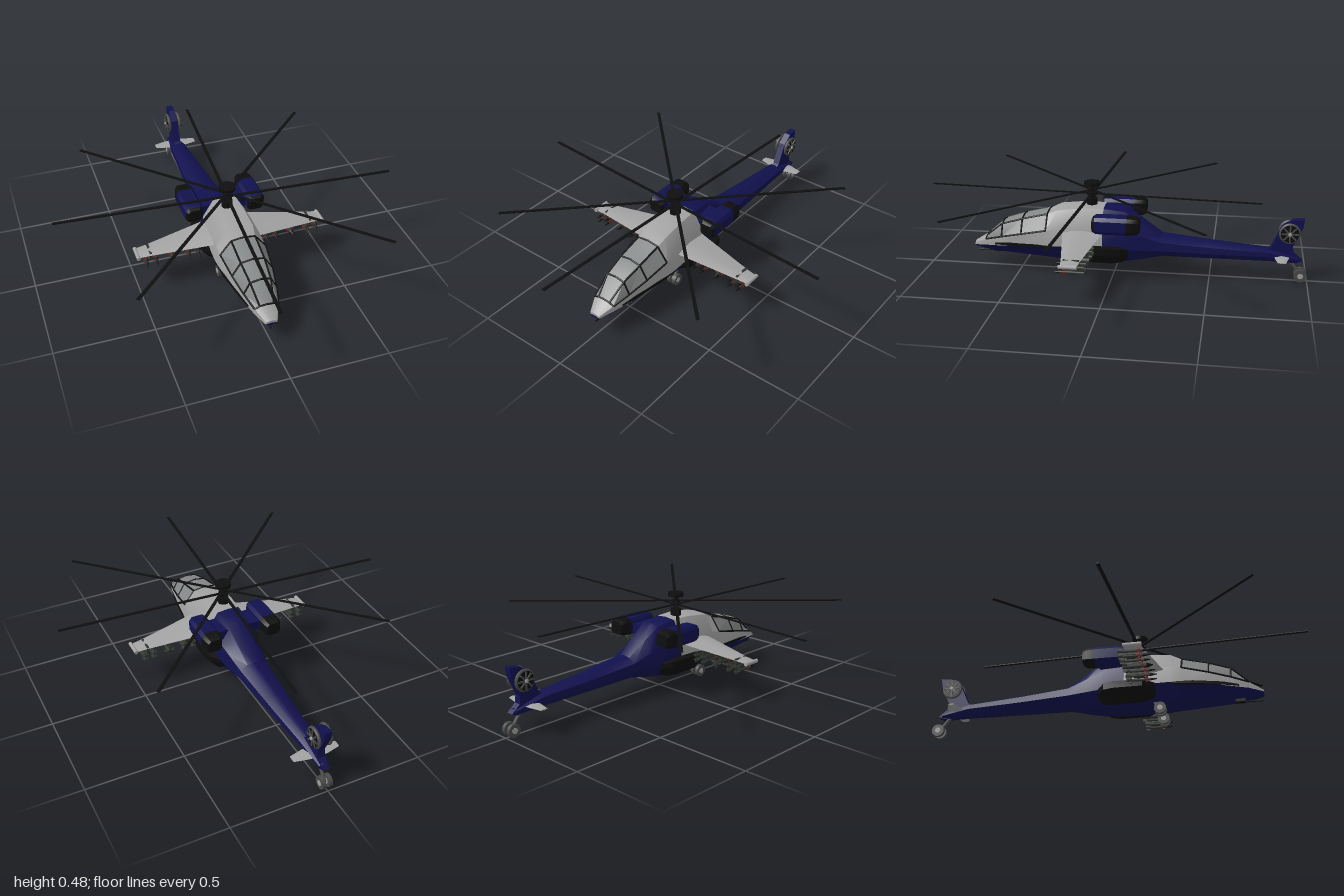
import * as THREE from 'three';
import { toCreasedNormals } from 'three/addons/utils/BufferGeometryUtils.js';

const mat = (name, color) => Object.assign(new THREE.MeshStandardMaterial({ color }), { name });
const grey = mat('light grey paint', 0xa2a2a2);
const navy = mat('navy paint', 0x11114e);
const black = mat('black', 0x0e0e0e);
const glass = mat('grey glass', 0x858888);
const rubber = mat('dark grey rubber', 0x4a4a4a);
const olive = mat('dark olive', 0x30352f);
const red = mat('red', 0x8c1212);
const V = (x, y, z) => new THREE.Vector3(x, y, z);

export function createModel() {
  const root = new THREE.Group();
  root.name = 'helicopter';

  function add(name, geo, material, parent = root) {
    const m = new THREE.Mesh(geo, material);
    m.name = name;
    parent.add(m);
    return m;
  }
  function box(name, w, h, d, x, y, z, material, parent) {
    const m = add(name, new THREE.BoxGeometry(w, h, d), material, parent);
    m.position.set(x, y, z);
    return m;
  }
  // Cylinder between two points
  function rod(name, a, b, r, material, r2 = r, sides = 10, parent = root) {
    const d = b.clone().sub(a);
    const m = add(name, new THREE.CylinderGeometry(r2, r, d.length(), sides), material, parent);
    m.position.copy(a).addScaledVector(d, 0.5);
    m.quaternion.setFromUnitVectors(V(0, 1, 0), d.normalize());
    return m;
  }
  // Skin over cross-sections with end caps; pick(row, strip) chooses the material
  function loft(name, rings, materials, pick = () => 0, crease = 0.5) {
    const faces = materials.map(() => []);
    const n = rings[0].length;
    let volume = 0;
    const tri = (k, a, b, c) => {
      volume += a.dot(b.clone().cross(c));
      faces[k].push([a, b, c]);
    };
    for (let i = 0; i < rings.length - 1; i++) for (let j = 0; j < n; j++) {
      const a = rings[i][j], b = rings[i][(j + 1) % n], c = rings[i + 1][(j + 1) % n], d = rings[i + 1][j];
      const k = pick(i, j);
      tri(k, a, b, c);
      tri(k, a, c, d);
    }
    for (const e of [0, rings.length - 1]) {
      const mid = rings[e].reduce((s, p) => s.add(p), V(0, 0, 0)).divideScalar(n);
      for (let j = 0; j < n; j++) {
        const p = rings[e][j], q = rings[e][(j + 1) % n];
        e ? tri(pick(e, j), mid, p, q) : tri(pick(-1, j), mid, q, p);
      }
    }
    const pts = [], geo = new THREE.BufferGeometry();
    faces.forEach((list, k) => {
      geo.addGroup(pts.length, list.length * 3, k);
      list.forEach(([a, b, c]) => pts.push(...(volume < 0 ? [a, c, b] : [a, b, c])));
    });
    geo.setFromPoints(pts);
    return add(name, toCreasedNormals(geo, crease), materials);
  }

  // Fuselage half-sections: z, then (x, y) for keel edge, chine, shoulder, roof edge, then roof y
  const sections = [
    [0.75, 0.015, 0.108, 0.03, 0.118, 0.028, 0.128, 0.015, 0.133, 0.135],
    [0.68, 0.035, 0.098, 0.06, 0.13, 0.06, 0.163, 0.035, 0.174, 0.177],
    [0.59, 0.046, 0.094, 0.083, 0.138, 0.083, 0.188, 0.052, 0.25, 0.258],
    [0.48, 0.057, 0.09, 0.105, 0.15, 0.103, 0.215, 0.06, 0.285, 0.295],
    [0.345, 0.067, 0.085, 0.125, 0.16, 0.118, 0.245, 0.062, 0.318, 0.326],
    [0.29, 0.07, 0.082, 0.127, 0.165, 0.12, 0.255, 0.07, 0.343, 0.35],
    [0.15, 0.075, 0.08, 0.122, 0.165, 0.115, 0.27, 0.065, 0.36, 0.366],
    [0.05, 0.075, 0.08, 0.118, 0.165, 0.112, 0.27, 0.06, 0.358, 0.364],
    [-0.06, 0.07, 0.082, 0.112, 0.16, 0.106, 0.26, 0.055, 0.346, 0.352],
    [-0.15, 0.06, 0.095, 0.1, 0.155, 0.092, 0.23, 0.045, 0.285, 0.292],
    [-0.25, 0.046, 0.114, 0.082, 0.152, 0.076, 0.195, 0.036, 0.216, 0.222],
    [-0.5, 0.04, 0.112, 0.064, 0.142, 0.06, 0.175, 0.03, 0.192, 0.197],
    [-0.8, 0.026, 0.108, 0.044, 0.135, 0.042, 0.158, 0.02, 0.17, 0.173],
    [-0.95, 0.014, 0.1, 0.025, 0.113, 0.025, 0.124, 0.012, 0.13, 0.132],
  ];
  const hull = sections.map(([z, a, b, c, d, e, f, g, h, t]) => {
    const half = [V(a, b, z), V(c, d, z), V(e, f, z), V(g, h, z)];
    return [V(0, b, z), ...half, V(0, t, z), ...half.map(p => V(-p.x, p.y, z)).reverse()];
  });
  loft('fuselage', hull, [grey, navy, glass], (i, j) => {
    const strip = j < 5 ? j : 9 - j;
    if (i > 6 || strip < 2) return 1;
    return strip > 2 && i >= 1 && i < 4 ? 2 : 0;
  });

  // Canopy frame along the glass edges
  const frame = new THREE.Group();
  frame.name = 'canopyFrame';
  root.add(frame);
  for (let i = 1; i <= 4; i++) for (const j of [3, 4, 6, 7]) {
    if (i < 4) rod('frameRail', hull[i][j], hull[i + 1][j], 0.005, black, 0.005, 6, frame);
    const next = hull[i][j < 5 ? j + 1 : j - 1];
    rod('frameHoop', hull[i][j], next, 0.005, black, 0.005, 6, frame);
  }
  rod('noseGun', V(0, 0.082, 0.62), V(0, 0.082, 0.745), 0.004, black);
  box('gunMount', 0.03, 0.025, 0.05, 0, 0.093, 0.63, black);

  // Wheel with a pale hub, axle along x
  function wheel(name, x, y, z, r) {
    const tyre = add(name, new THREE.CylinderGeometry(r, r, 0.018, 20), rubber);
    tyre.rotation.z = Math.PI / 2;
    tyre.position.set(x, y, z);
    const hub = add(name + 'Hub', new THREE.CylinderGeometry(r * 0.45, r * 0.45, 0.022, 12), grey);
    hub.rotation.z = Math.PI / 2;
    hub.position.set(x, y, z);
  }

  // Missile with a nose cone and crossed tail fins
  function missile(x, y, r, z0 = 0.08, z1 = 0.2) {
    const g = new THREE.Group();
    g.name = 'missile';
    root.add(g);
    rod('missileBody', V(x, y, z0), V(x, y, z1), r, olive, r, 8, g);
    rod('missileNose', V(x, y, z1), V(x, y, z1 + 0.03), r, black, 0.002, 8, g);
    for (const t of [0, 1]) {
      box('missileFin', t ? 0.003 : r * 4.2, t ? r * 4.2 : 0.003, 0.022, x, y, z0 + 0.014, olive, g);
      box('missileFrontFin', t ? 0.003 : r * 3.4, t ? r * 3.4 : 0.003, 0.012, x, y, z1 - 0.02, red, g);
    }
  }

  for (const s of [1, -1]) {
    // Stub wing: x, y, half chord, half thickness
    const wing = [[0.08, 0.245, 0.11, 0.016], [0.13, 0.238, 0.1, 0.014], [0.44, 0.207, 0.046, 0.008], [0.495, 0.202, 0.04, 0.006]];
    loft('wing', wing.map(([x, y, c, t]) => [[1, 0], [0.55, 0.8], [0, 1], [-1, 0.1], [0, -1], [0.55, -0.8]]
      .map(([u, v]) => V(s * x, y + v * t, 0.153 + u * c))), [grey], undefined, 0.9);
    rod('wingTipRail', V(s * 0.495, 0.202, 0.11), V(s * 0.495, 0.202, 0.2), 0.01, grey);

    // Stores under the wing
    for (const x of [0.21, 0.43]) {
      box('pylon', 0.012, 0.04, 0.08, s * x, 0.195, 0.15, olive);
      box('launcher', 0.05, 0.008, 0.07, s * x, 0.174, 0.15, olive);
      for (const dx of [-0.025, 0.025]) for (const y of [0.161, 0.187]) missile(s * x + dx, y, 0.007);
    }
    box('pylon', 0.01, 0.04, 0.06, s * 0.32, 0.2, 0.15, olive);
    missile(s * 0.32, 0.173, 0.013);

    // Engine nacelle: z, scale
    const nacelle = [[0.09, 0.72], [0.075, 0.94], [0.04, 1], [-0.085, 1], [-0.13, 0.93], [-0.15, 0.75]];
    const octagon = [[1, 0.6], [0.7, 1], [-0.7, 1], [-1, 0.6], [-1, -0.6], [-0.7, -1], [0.7, -1], [1, -0.6]];
    loft('engine', nacelle.map(([z, k]) => octagon.map(([u, v]) => V(s * 0.165 + u * k * 0.048, 0.313 + v * k * 0.044, z))),
      [navy, black], (i) => (i < 1 || i > 2 ? 1 : 0));
    box('enginePylon', 0.09, 0.05, 0.12, s * 0.09, 0.305, -0.015, navy);

    // Side sponson: z, outer x, bottom y, top y
    const fairing = (name, rows) => loft(name, rows.map(([z, x, b, t]) => [
      V(s * 0.04, b, z), V(s * (x - 0.045), b, z), V(s * x, b + (t - b) * 0.6, z), V(s * x, t, z), V(s * 0.04, t, z)]), [black]);
    fairing('sponson', [[0.21, 0.125, 0.1, 0.168], [0.15, 0.163, 0.086, 0.176], [0, 0.163, 0.084, 0.176], [-0.05, 0.15, 0.088, 0.172], [-0.085, 0.11, 0.1, 0.16]]);
    fairing('avionicsBay', [[0.63, 0.076, 0.128, 0.148], [0.55, 0.096, 0.125, 0.16], [0.4, 0.122, 0.132, 0.167], [0.3, 0.129, 0.142, 0.165]]);

    // Main landing gear
    rod('gearStrut', V(s * 0.065, 0.1, 0.19), V(s * 0.071, 0.044, 0.23), 0.009, rubber);
    rod('gearAxle', V(s * 0.05, 0.044, 0.23), V(s * 0.09, 0.044, 0.23), 0.006, rubber);
    wheel('mainWheelInner', s * 0.055, 0.044, 0.23, 0.031);
    wheel('mainWheelOuter', s * 0.087, 0.044, 0.23, 0.031);
    wheel('tailWheel', s * 0.018, 0.033, -0.965, 0.033);

    // Tailplane
    const plane = [[0, 0.04, 0.008], [0.05, 0.036, 0.007], [0.12, 0.02, 0.004]];
    loft('tailplane', plane.map(([x, c, t]) => [[1, 0], [0, 1], [-1, 0], [0, -1]]
      .map(([u, v]) => V(s * x, 0.135 + v * t, -0.865 + u * c))), [grey]);

    // Tail fan
    const fan = new THREE.Group();
    fan.name = 'tailFan';
    fan.position.set(s * 0.03, 0.263, -0.9);
    fan.rotation.y = s * Math.PI / 2;
    root.add(fan);
    const disc = add('fanDisc', new THREE.CylinderGeometry(0.046, 0.046, 0.02, 24), black, fan);
    disc.rotation.x = Math.PI / 2;
    add('fanRing', new THREE.TorusGeometry(0.046, 0.009, 8, 28), rubber, fan);
    for (let k = 0; k < 4; k++) box('fanBlade', 0.088, 0.008, 0.004, 0, 0, 0.012, rubber, fan).rotation.z = k * Math.PI / 4;
    rod('fanHub', V(0, 0, 0), V(0, 0, 0.02), 0.011, grey, 0.008, 12, fan);
  }

  // Tail fin
  const finShape = new THREE.Shape([[-0.76, 0.15], [-0.81, 0.18], [-0.86, 0.29], [-0.915, 0.33], [-0.97, 0.335],
    [-0.965, 0.29], [-0.92, 0.19], [-0.925, 0.15], [-0.97, 0.112], [-0.94, 0.1], [-0.8, 0.11]].map(p => new THREE.Vector2(...p)));
  const fin = new THREE.ExtrudeGeometry(finShape, { depth: 0.036, bevelEnabled: false });
  fin.translate(0, 0, -0.018).rotateY(-Math.PI / 2);
  add('tailFin', fin, navy);
  rod('tailStrut', V(0, 0.12, -0.9), V(0, 0.033, -0.965), 0.009, rubber);
  rod('tailAxle', V(-0.025, 0.033, -0.965), V(0.025, 0.033, -0.965), 0.007, rubber);

  // Main rotor: mast, hub and two layers of four blades
  const rotor = new THREE.Group();
  rotor.name = 'mainRotor';
  rotor.position.set(-0.007, 0, 0.12);
  root.add(rotor);
  for (const [name, y0, y1, r] of [['mastBase', 0.35, 0.398, 0.028], ['mast', 0.39, 0.47, 0.012],
    ['rotorHead', 0.414, 0.426, 0.026], ['upperRotorHead', 0.434, 0.444, 0.022], ['mastDome', 0.466, 0.484, 0.042]]) {
    rod(name, V(0, y0, 0), V(0, y1, 0), r, black, r, 20, rotor);
  }
  for (let k = 0; k < 8; k++) {
    const upper = k % 2, inner = 0.015, len = 0.875 - inner;
    const blade = add('rotorBlade', new THREE.BoxGeometry(len, 0.004, 0.016), black, rotor);
    blade.geometry.translate(inner + len / 2, 0, 0);
    blade.position.y = upper ? 0.44 : 0.42;
    blade.rotation.y = k * Math.PI / 4 - (upper ? 0 : 0.063);
  }
  return root;
}
